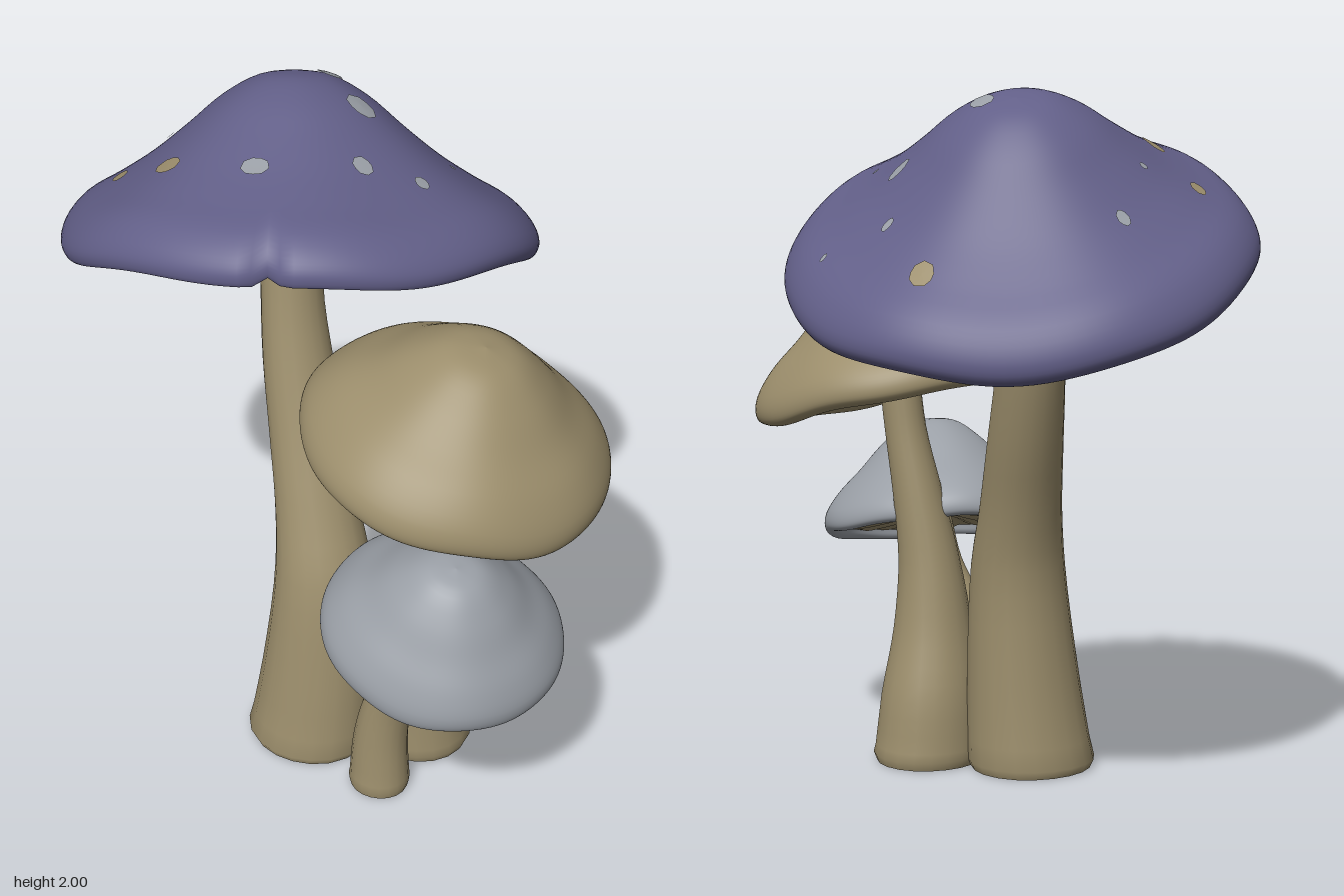
import * as THREE from 'three';

const mat = (name, color) => new THREE.MeshStandardMaterial({ name, color });

// Skin rows of points (each row a closed loop) into a smooth surface
function loft(rows) {
  const n = rows[0].length, pos = [], idx = [];
  rows.forEach(row => row.forEach(p => pos.push(p.x, p.y, p.z)));
  for (let i = 0; i < rows.length - 1; i++) {
    for (let j = 0; j < n; j++) {
      const k = (j + 1) % n;
      const a = i * n + j, b = a + n, c = (i + 1) * n + k, d = i * n + k;
      idx.push(a, c, b, a, d, c);
    }
  }
  const g = new THREE.BufferGeometry();
  g.setAttribute('position', new THREE.Float32BufferAttribute(pos, 3));
  g.setIndex(idx);
  g.computeVertexNormals();
  return g;
}

function named(name, geometry, material) {
  const m = new THREE.Mesh(geometry, material);
  m.name = name;
  return m;
}

// Stem: stations of [x, y, z, radius] from the ground up
function makeStem(name, stations, material) {
  const path = new THREE.CatmullRomCurve3(stations.map(s => new THREE.Vector3(s[0], s[1], s[2])));
  const radii = new THREE.CatmullRomCurve3(stations.map(s => new THREE.Vector3(s[3], 0, 0)));
  const ring = (c, r) => Array.from({ length: 20 }, (_, j) => {
    const t = j / 20 * Math.PI * 2;
    const w = r * (1 + 0.02 * Math.sin(3 * t + c.y * 2));
    return new THREE.Vector3(c.x + w * Math.cos(t), c.y, c.z + w * Math.sin(t));
  });
  const rows = [];
  for (let i = 24; i >= 0; i--) rows.push(ring(path.getPoint(i / 24), radii.getPoint(i / 24).x));
  // rounded foot, then the flat sole
  const foot = path.getPoint(0), r = radii.getPoint(0).x;
  rows[24].forEach(p => { p.y = 0.025; });
  rows.push(ring(foot, r * 0.94), ring(foot, r * 0.94), ring(foot, 0));
  return named(name, loft(rows), material);
}

// Cap with its gills; profile is [radius, height] from the tip out to the inner lip
function makeCap(o) {
  const { name, R, profile, shift, seed, notch, depthScale = 1 } = o;
  const group = new THREE.Group();
  group.name = name;
  group.position.set(...o.centre);
  group.quaternion.setFromUnitVectors(new THREE.Vector3(0, 1, 0), new THREE.Vector3(...o.axis).normalize());
  group.updateMatrix();

  // Place a profile point, with an uneven rim and an optional split
  const place = (r, h, t) => {
    const f = (r / R) ** 2;
    let k = 1 + f * (0.005 * Math.sin(3 * t + seed) + 0.006 * Math.sin(5 * t + 2 * seed));
    let y = h + f * R * (0.012 * Math.sin(4 * t + seed) + 0.01 * Math.sin(7 * t));
    if (notch !== undefined && r > R * 0.8) {
      const dip = Math.exp(-(((t - notch) / 0.04) ** 2));
      k -= 0.06 * dip;
      y += 0.02 * dip;
    }
    return new THREE.Vector3(r * k * Math.cos(t), y, r * k * depthScale * Math.sin(t) + shift * Math.max(0, 1 - f));
  };

  const curve = new THREE.CatmullRomCurve3(profile.map(p => new THREE.Vector3(p[0], p[1], 0)), false, 'centripetal');
  const line = curve.getPoints(44);
  const loop = (n, r, h) => Array.from({ length: n }, (_, j) => place(r, h, j / n * Math.PI * 2));
  group.add(named('capSkin', loft(line.map(p => loop(112, Math.max(p.x, 0), p.y))), o.skin));

  // Gills: ridges hanging from a shallow hollow, swaying a little on the way in
  const [r0, h0] = profile[profile.length - 1];
  const n = o.gills * 4, rows = [];
  for (let i = 0; i <= 12; i++) {
    const s = i / 12, r = r0 * (1 - s) + R * 0.06 * s;
    const base = h0 + (o.hollow - h0) * Math.pow(s, 0.6);
    const depth = o.depth * Math.sin(Math.PI * Math.pow(s, 0.5)) ** 0.8;
    rows.push(Array.from({ length: n }, (_, j) => {
      const t = j / n * Math.PI * 2;
      const sway = i === 0 ? 0 : 0.035 * Math.sin(s * 6 + 3 * Math.sin(t * 5 + seed));
      const ridge = [0, 0.6, 1, 0.3][j % 4] * (j % 8 < 4 ? 1 : 0.7);
      return place(r, base - depth * ridge, t + sway);
    }));
  }
  group.add(named('gills', loft(rows), o.gillSkin));

  // Spots: thin patches set on the cap above a given x and z
  const height = r => {
    const i = Math.max(1, line.findIndex(p => p.x >= r));
    const f = (r - line[i - 1].x) / (line[i].x - line[i - 1].x);
    return line[i - 1].y + f * (line[i].y - line[i - 1].y);
  };
  const onCap = (x, z) => {
    let px = x - o.centre[0], pz = z - o.centre[2], local;
    for (let i = 0; i < 30; i++) {
      const r = Math.min(Math.hypot(px, pz), R * 0.97);
      local = place(r, height(r) + 0.006, Math.atan2(pz, px));
      const w = local.clone().applyMatrix4(group.matrix);
      px += (x - w.x) * 0.6;
      pz += (z - w.z) * 0.6;
    }
    return local;
  };
  (o.spots || []).forEach(([x, z, sx, sz, material], k) => {
    const ring = f => Array.from({ length: 9 }, (_, j) => {
      const t = j / 9 * Math.PI * 2, w = f * (1 + 0.15 * Math.sin(2 * t + k));
      return onCap(x + sx * w * Math.cos(t), z + sz * w * Math.sin(t));
    });
    group.add(named('spot', loft([ring(0), ring(0.5), ring(1)]), material));
  });
  return group;
}

export function createModel() {
  const model = new THREE.Group();
  model.name = 'mushroomCluster';
  const purple = mat('purple', 0x625f88);
  const tan = mat('tan', 0x9c8e6c);
  const grey = mat('paleGrey', 0x9a9fa6);

  // Stems
  model.add(
    makeStem('tallStem', [[-0.02, 0, 0.21, 0.19], [0, 0.3, 0.195, 0.165], [0, 0.6, 0.17, 0.14], [-0.04, 0.8, 0.12, 0.12],
      [-0.09, 1, 0.06, 0.11], [-0.135, 1.2, 0.01, 0.1], [-0.165, 1.4, -0.03, 0.088], [-0.175, 1.63, -0.075, 0.086]], tan),
    makeStem('middleStem', [[0.28, 0, 0.115, 0.165], [0.275, 0.2, 0.125, 0.15], [0.28, 0.4, 0.145, 0.118],
      [0.295, 0.6, 0.15, 0.092], [0.33, 0.8, 0.145, 0.075], [0.37, 1, 0.14, 0.062], [0.39, 1.16, 0.14, 0.06]], tan),
    makeStem('smallStem', [[0.247, 0, 0.365, 0.09], [0.25, 0.2, 0.362, 0.078], [0.28, 0.35, 0.367, 0.07],
      [0.335, 0.45, 0.385, 0.063], [0.4, 0.56, 0.405, 0.052], [0.44, 0.7, 0.41, 0.05]], tan));

  // Large spotted cap
  model.add(makeCap({
    name: 'largeCap', R: 0.66, centre: [-0.165, 1.55, -0.105], axis: [-0.13, 1, -0.4], seed: 1, notch: 1.34, shift: 0.05,
    profile: [[0, 0.445], [0.1, 0.43], [0.2, 0.375], [0.3, 0.29], [0.4, 0.21], [0.5, 0.145], [0.6, 0.085],
      [0.65, 0.025], [0.66, -0.02], [0.642, -0.05], [0.615, -0.04], [0.603, -0.012]],
    hollow: 0.035, depth: 0.035, gills: 44, skin: purple, gillSkin: tan,
    spots: [[-0.13, -0.25, 0.038, 0.034, grey], [0, -0.14, 0.038, 0.04, grey], [0.08, -0.34, 0.027, 0.025, grey],
      [0.02, -0.49, 0.016, 0.014, grey], [0.2, -0.53, 0.01, 0.01, grey], [0.24, -0.21, 0.01, 0.01, grey],
      [0.225, 0.01, 0.022, 0.022, grey], [0.08, 0.07, 0.027, 0.032, grey], [-0.175, 0.195, 0.035, 0.033, grey],
      [-0.57, -0.26, 0.018, 0.018, grey], [-0.53, -0.07, 0.01, 0.012, grey],
      [-0.16, -0.605, 0.04, 0.024, tan], [-0.62, 0.08, 0.025, 0.027, tan], [-0.44, 0.16, 0.035, 0.034, tan]],
  }));

  // Middle cap
  model.add(makeCap({
    name: 'middleCap', R: 0.44, centre: [0.38, 1.127, 0.14], axis: [0.24, 1, 0], seed: 2.5, shift: 0.02,
    profile: [[0, 0.352], [0.1, 0.333], [0.19, 0.272], [0.28, 0.19], [0.37, 0.115], [0.425, 0.045], [0.44, 0],
      [0.435, -0.03], [0.41, -0.045], [0.385, -0.035], [0.375, -0.015]],
    hollow: 0.0, depth: 0.022, gills: 30, skin: tan, gillSkin: tan,
  }));

  // Small cap
  model.add(makeCap({
    name: 'smallCap', R: 0.343, centre: [0.44, 0.687, 0.405], axis: [0.2, 1, 0.2], seed: 4, shift: 0.025, depthScale: 0.94,
    profile: [[0, 0.302], [0.08, 0.287], [0.16, 0.225], [0.23, 0.148], [0.295, 0.08], [0.335, 0.02], [0.343, -0.015],
      [0.338, -0.035], [0.322, -0.043], [0.307, -0.033], [0.3, -0.015]],
    hollow: 0.005, depth: 0.015, gills: 22, skin: grey, gillSkin: tan,
  }));
  return model;
}
